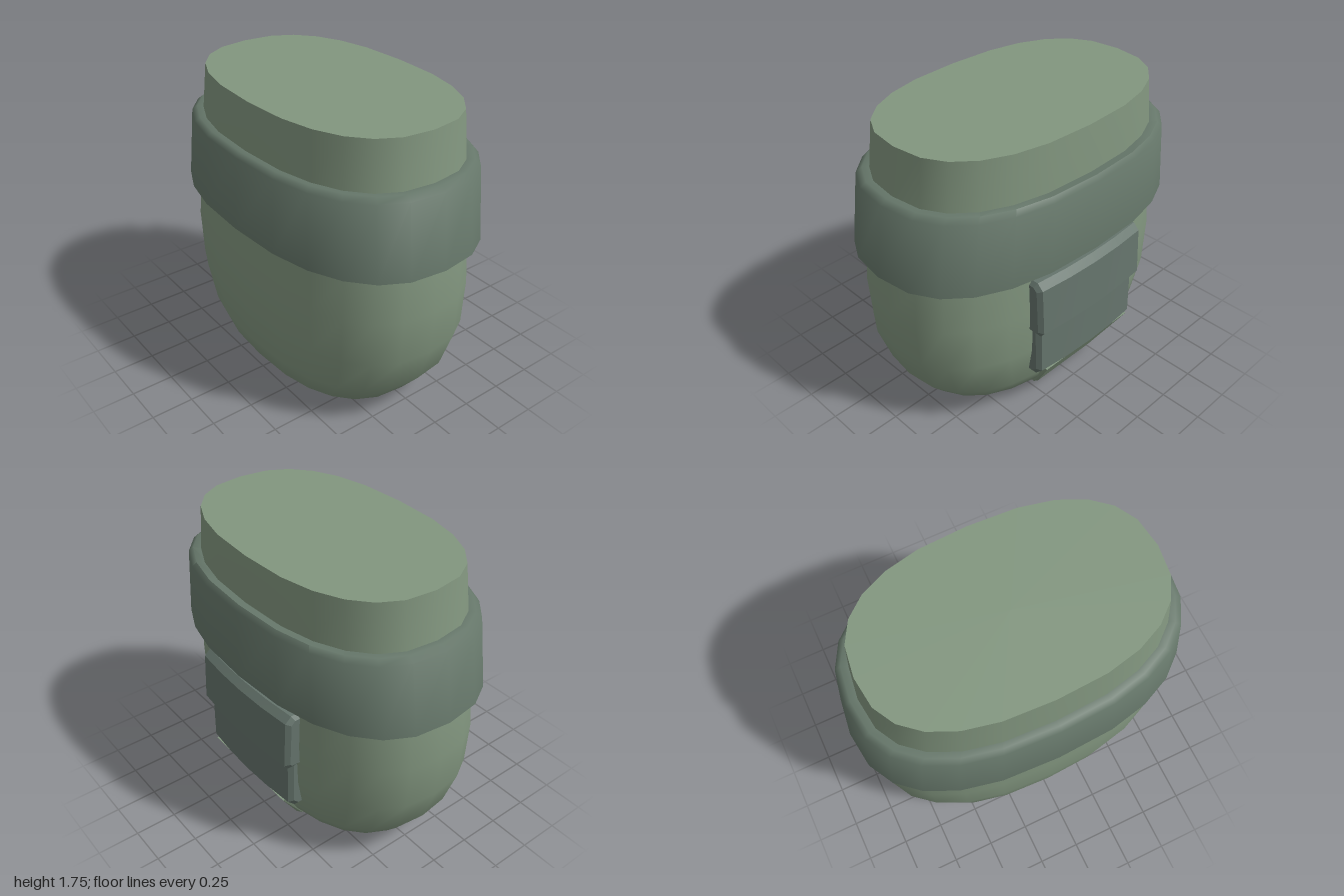
import * as THREE from 'three';
import { toCreasedNormals } from 'three/addons/utils/BufferGeometryUtils.js';
import { ConvexGeometry } from 'three/addons/geometries/ConvexGeometry.js';

const SIDES = 24;
const soften = (v) => Math.sign(v) * Math.abs(v) ** 0.8;

// Loft of squarish ovals; each row is [y, half width, front z, back z]
function ovalLoft(rows, crease) {
  const pos = [], idx = [];
  rows.forEach(([y, hx, zf, zb]) => {
    for (let j = 0; j < SIDES; j++) {
      const a = (j / SIDES) * Math.PI * 2;
      pos.push(soften(Math.cos(a)) * hx, y, (zf + zb) / 2 + (soften(Math.sin(a)) * (zf - zb)) / 2);
    }
  });
  for (let i = 0; i < rows.length - 1; i++) {
    for (let j = 0; j < SIDES; j++) {
      const a = i * SIDES + j, b = i * SIDES + (j + 1) % SIDES;
      const c = a + SIDES, d = b + SIDES;
      idx.push(a, c, b, b, c, d);
    }
  }
  const g = new THREE.BufferGeometry();
  g.setAttribute('position', new THREE.Float32BufferAttribute(pos, 3));
  g.setIndex(idx);
  return toCreasedNormals(g, crease);
}

// Side profile of [distance behind centre, y], swept across x and wrapped to the back
function backBlock(profile, halfWidth) {
  const shape = new THREE.Shape(profile.map(([u, y]) => new THREE.Vector2(u, y)));
  const t = 0.02;
  const g = new THREE.ExtrudeGeometry(shape, {
    depth: 2 * (halfWidth - t), steps: 4, bevelEnabled: true,
    bevelThickness: t, bevelSize: 0.025, bevelOffset: -0.025, bevelSegments: 1,
  });
  g.translate(0, 0, t - halfWidth);
  g.rotateY(Math.PI / 2);
  const p = g.attributes.position;
  for (let i = 0; i < p.count; i++) {
    const k = p.getX(i) / halfWidth;
    p.setZ(i, p.getZ(i) + 0.025 * k * k);
  }
  return toCreasedNormals(g, 0.35);
}

export function createModel() {
  const model = new THREE.Group();
  const bodyMat = new THREE.MeshStandardMaterial({ color: 0x82967f });
  const bandMat = new THREE.MeshStandardMaterial({ color: 0x66776a });
  const clipMat = new THREE.MeshStandardMaterial({ color: 0x65746c });
  const add = (name, geometry, material) => {
    const mesh = new THREE.Mesh(geometry, material);
    mesh.name = name;
    model.add(mesh);
  };

  // Rounded body tapering to a flat-topped neck
  add('body', ovalLoft([
    [0.04, 0, 0.02, 0.02],
    [0.04, 0.58, 0.41, -0.36],
    [0.105, 0.75, 0.52, -0.445],
    [0.24, 0.86, 0.565, -0.525],
    [0.475, 0.94, 0.595, -0.555],
    [0.75, 0.955, 0.6, -0.56],
    [1.0, 0.935, 0.575, -0.548],
    [1.48, 0.87, 0.545, -0.54],
    [1.745, 0.84, 0.52, -0.525],
    [1.745, 0, 0, 0],
  ], 0.75), bodyMat);

  // Wide collar around the upper body
  add('band', ovalLoft([
    [1.01, 0.85, 0.52, -0.5],
    [1.01, 0.965, 0.605, -0.585],
    [1.03, 1.0, 0.635, -0.615],
    [1.45, 0.945, 0.607, -0.607],
    [1.478, 0.91, 0.58, -0.585],
    [1.47, 0.85, 0.52, -0.52],
    [1.01, 0.85, 0.52, -0.5],
  ], 0.95), bandMat);

  // Two stacked blocks on the back
  add('upperBackBlock', backBlock([
    [0.48, 0.62], [0.61, 0.62], [0.635, 0.65],
    [0.618, 0.935], [0.58, 0.972], [0.5, 0.972],
  ], 0.42), clipMat);
  add('lowerBackBlock', backBlock([
    [0.46, 0.3], [0.56, 0.3], [0.605, 0.345], [0.597, 0.66], [0.48, 0.66],
  ], 0.4), clipMat);

  // Sloping strap joining the back blocks to the base plate
  const strapRows = [
    [0.2, 0, -0.1], [0.22, 0, -0.37], [0.23, 0.045, -0.415],
    [0.35, 0.34, -0.595], [0.35, 0.34, -0.45],
  ];
  const strapPoints = strapRows.flatMap(([x, y, z]) =>
    [-1, 1].map((s) => new THREE.Vector3(s * x, y, z)));
  add('strap', new ConvexGeometry(strapPoints), bodyMat);

  // Base plate, wide in front with a narrower neck to the rear
  const half = [
    [0.2, 0.21], [0.3, 0.17], [0.36, 0.1], [0.38, 0], [0.38, -0.08],
    [0.32, -0.12], [0.24, -0.12], [0.22, -0.2], [0.22, -0.37],
  ];
  const outline = [...half, ...half.map(([x, z]) => [-x, z]).reverse()];
  const plate = new THREE.ExtrudeGeometry(
    new THREE.Shape(outline.map(([x, z]) => new THREE.Vector2(x, -z))),
    { depth: 0.06, bevelEnabled: false });
  plate.rotateX(-Math.PI / 2);
  add('basePlate', plate, clipMat);

  return model;
}
